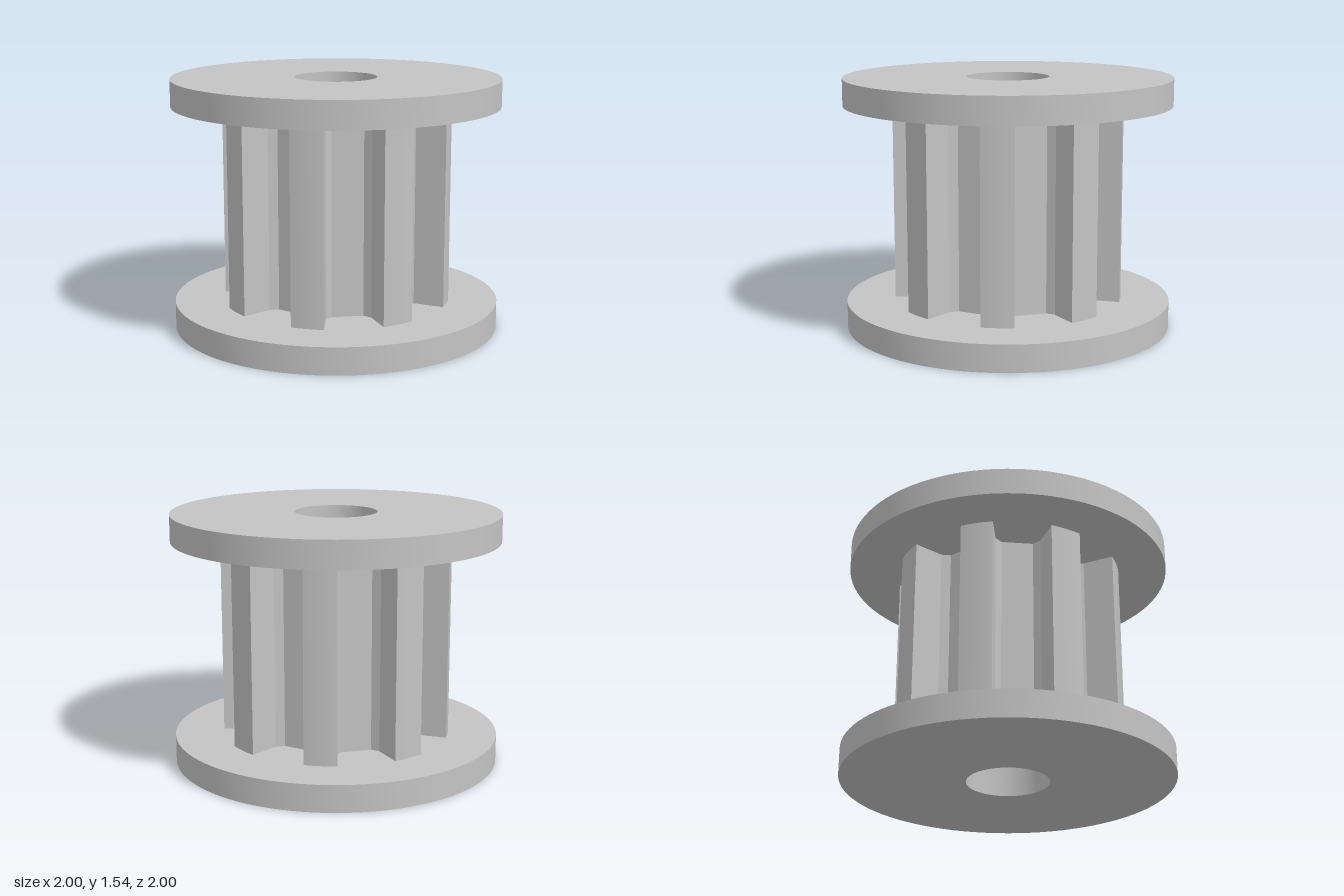
import * as THREE from 'three';
import { toCreasedNormals } from 'three/addons/utils/BufferGeometryUtils.js';

const HEIGHT = 1.54, FLANGE = 0.165, BORE = 0.25, TEETH = 8, TIP = 0.702;

// Ring with a square section, bored through the middle
function flangeGeometry() {
  const profile = [[BORE, 0], [1, 0], [1, FLANGE], [BORE, FLANGE], [BORE, 0]]
    .map(([r, y]) => new THREE.Vector2(r, y));
  return toCreasedNormals(new THREE.LatheGeometry(profile, 96), 0.4);
}

// Toothed outline: each pitch is one tapered groove followed by one curved land
function coreGeometry() {
  const groove = [[-0.175, 0.68], [-0.136, 0.492], [-0.096, 0.45],
    [0.096, 0.45], [0.136, 0.492], [0.175, 0.68]];
  const pitch = (Math.PI * 2) / TEETH;
  const half = Math.atan2(0.175, 0.68);
  const steps = 6;
  const points = [];
  for (let i = 0; i < TEETH; i++) {
    const a = i * pitch;
    for (const [t, r] of groove) {
      points.push(new THREE.Vector2(
        r * Math.cos(a) - t * Math.sin(a), r * Math.sin(a) + t * Math.cos(a)));
    }
    for (let s = 1; s < steps; s++) {
      const b = a + half + (pitch - 2 * half) * s / steps;
      points.push(new THREE.Vector2(TIP * Math.cos(b), TIP * Math.sin(b)));
    }
  }
  const shape = new THREE.Shape(points);
  shape.holes.push(new THREE.Path().absarc(0, 0, BORE, 0, Math.PI * 2, true));
  const geometry = new THREE.ExtrudeGeometry(shape, {
    depth: HEIGHT - 2 * FLANGE, bevelEnabled: false, curveSegments: 48,
  });
  geometry.rotateX(-Math.PI / 2);
  return toCreasedNormals(geometry, 0.4);
}

export function createModel() {
  const model = new THREE.Group();
  model.name = 'toothedPulley';
  const metal = new THREE.MeshStandardMaterial({ color: 0xc4c4c4 });
  metal.name = 'greyMetal';

  const add = (name, geometry, y) => {
    const mesh = new THREE.Mesh(geometry, metal);
    mesh.name = name;
    mesh.position.y = y;
    model.add(mesh);
  };

  const flange = flangeGeometry();
  add('bottomFlange', flange, 0);
  add('toothedCore', coreGeometry(), FLANGE);
  add('topFlange', flange, HEIGHT - FLANGE);
  return model;
}
